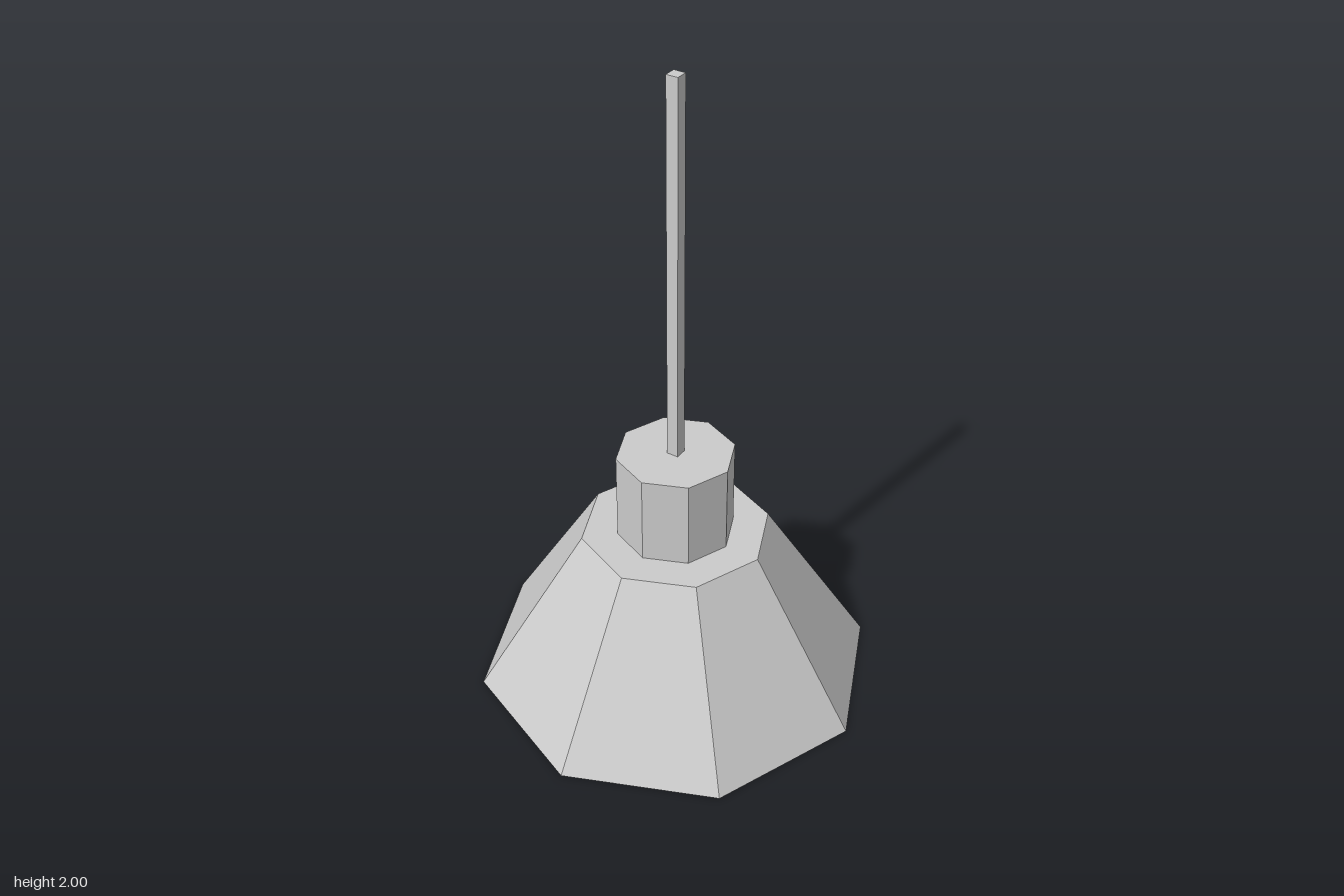
import * as THREE from 'three';

export function createModel() {
  const model = new THREE.Group();
  const material = new THREE.MeshStandardMaterial({ color: 0xcccccc, flatShading: true });

  const add = (name, geometry, y = 0) => {
    const mesh = new THREE.Mesh(geometry, material);
    mesh.name = name;
    mesh.position.y = y;
    model.add(mesh);
  };

  // Hollow eight-sided shade: inner ceiling, inner wall, rim, outer wall, flat top
  const profile = [[0, 0.425], [0.25, 0.425], [0.53, 0], [0.622, 0], [0.29, 0.53], [0, 0.53]];
  add('shade', new THREE.LatheGeometry(profile.map(([r, y]) => new THREE.Vector2(r, y)), 8));

  // Socket housing standing on the shade
  add('socket', new THREE.CylinderGeometry(0.18, 0.18, 0.28, 8), 0.67);

  // Square hanging rod
  add('rod', new THREE.BoxGeometry(0.037, 1.19, 0.037), 1.405);

  return model;
}
